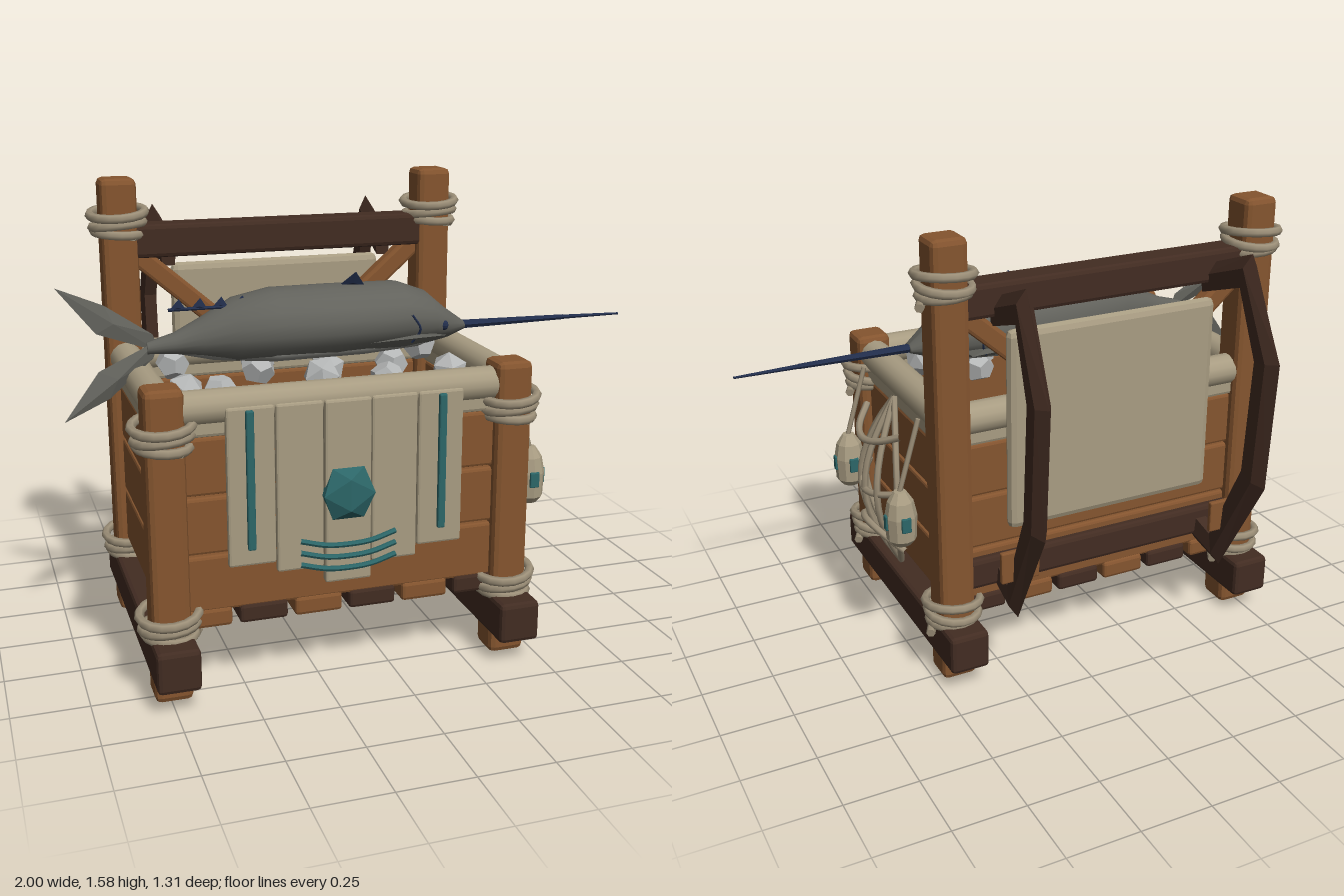
import * as THREE from 'three';
import { RoundedBoxGeometry } from 'three/addons/geometries/RoundedBoxGeometry.js';

const V = (x, y, z) => new THREE.Vector3(x, y, z);
const mat = (color, flatShading = true, side = THREE.FrontSide) =>
  new THREE.MeshStandardMaterial({ color, flatShading, side });

export function createModel() {
  const root = new THREE.Group();
  const wood = mat(0x85552f), dark = mat(0x422c22), cloth = mat(0xa89c82), rope = mat(0x9c8f78, false);
  const teal = mat(0x2c6668), navy = mat(0x222e4c), skin = mat(0x62625c, false), ice = mat(0xb4b6b6);
  const fin = mat(0x62625c, true, THREE.DoubleSide), navyFin = mat(0x222e4c, true, THREE.DoubleSide);

  const add = (name, geo, m, x = 0, y = 0, z = 0) => {
    const mesh = new THREE.Mesh(geo, m);
    mesh.name = name;
    mesh.position.set(x, y, z);
    root.add(mesh);
    return mesh;
  };
  // chamfered block given by its extents
  const block = (name, m, x0, x1, y0, y1, z0, z1, r = 0.012) =>
    add(name, new RoundedBoxGeometry(x1 - x0, y1 - y0, z1 - z0, 1, r), m,
      (x0 + x1) / 2, (y0 + y1) / 2, (z0 + z1) / 2);
  const tube = (name, m, pts, r = 0.012, seg = 14) =>
    add(name, new THREE.TubeGeometry(new THREE.CatmullRomCurve3(pts), seg, r, 6), m);
  // cylinder between two points
  const rod = (name, m, a, b, r0, r1 = r0, sides = 6) => {
    const mesh = add(name, new THREE.CylinderGeometry(r1, r0, a.distanceTo(b), sides), m);
    mesh.position.copy(a).lerp(b, 0.5);
    mesh.quaternion.setFromUnitVectors(V(0, 1, 0), b.clone().sub(a).normalize());
    return mesh;
  };
  // closed skin through rings of equal length
  const loft = rings => {
    const n = rings[0].length, idx = [], last = (rings.length - 1) * n;
    for (let r = 0; r < rings.length - 1; r++)
      for (let i = 0; i < n; i++) {
        const a = r * n + i, b = r * n + (i + 1) % n;
        idx.push(a, b, a + n, b, b + n, a + n);
      }
    for (let i = 1; i < n - 1; i++) idx.push(0, i + 1, i, last, last + i, last + i + 1);
    const g = new THREE.BufferGeometry().setFromPoints(rings.flat());
    g.setIndex(idx);
    g.computeVertexNormals();
    return g;
  };

  const XL = -0.74, XR = 0.41, ZF = 0.5, ZB = -0.235;

  // posts, runners and rope lashings
  const lashing = (x, y, z) => {
    [[0.035, 0.1, 0.06], [-0.005, -0.07, 0.08], [-0.03, 0.05, -0.06]].forEach(([dy, tx, ty], i) => {
      const t = add('lashing', new THREE.TorusGeometry(0.095 - i * 0.006, 0.016, 6, 16), rope, x, y + dy, z);
      t.rotation.set(Math.PI / 2 + tx, ty, 0);
    });
    rod('lashingEnd', rope, V(x + 0.04, y - 0.04, z + 0.07), V(x + 0.1, y - 0.055, z - 0.04), 0.016);
  };
  for (const x of [XL, XR]) {
    block('frontPost', wood, x - 0.062, x + 0.062, 0, 1.025, ZF - 0.062, ZF + 0.062, 0.02);
    block('backPost', wood, x - 0.062, x + 0.062, 0, 1.575, ZB - 0.062, ZB + 0.062, 0.02);
    block('runner', dark, x - 0.07, x + 0.07, 0.08, 0.22, -0.39, 0.66, 0.015);
    lashing(x, 0.87, ZF);
    lashing(x, 1.42, ZB);
    for (const z of [ZF, ZB]) lashing(x, 0.25, z);
  }

  // floor slats
  for (let i = 0; i < 6; i++) {
    const x = -0.62 + i * 0.184;
    block('floorSlat', i % 2 ? dark : wood, x - 0.08, x + 0.08, 0.225, 0.29, -0.27, 0.53);
  }

  // plank walls, lining and rolled rim
  for (let i = 0; i < 3; i++) {
    const y0 = 0.28 + i * 0.195, y1 = y0 + 0.188;
    for (const z of [ZF, ZB]) block('wallPlank', wood, XL + 0.04, XR - 0.04, y0, y1, z - 0.025, z + 0.025, 0.01);
    for (const x of [XL, XR]) block('sidePlank', wood, x - 0.025, x + 0.025, y0, y1, ZB + 0.04, ZF - 0.04, 0.01);
  }
  for (const z of [ZF, ZB]) {
    block('lining', cloth, XL + 0.05, XR - 0.05, 0.86, 0.93, z - 0.032, z + 0.032);
    rod('rimRoll', mat(0xa89c82, false), V(XL + 0.03, 0.95, z), V(XR - 0.03, 0.95, z), 0.055, 0.055, 14);
  }
  for (const x of [XL, XR]) {
    block('lining', cloth, x - 0.032, x + 0.032, 0.86, 0.93, ZB + 0.05, ZF - 0.05);
    rod('rimRoll', mat(0xa89c82, false), V(x, 0.955, ZB + 0.03), V(x, 0.955, ZF - 0.03), 0.055, 0.055, 14);
  }

  // back frame: beams, braces and padded board
  block('topBeam', dark, XL + 0.04, XR - 0.04, 1.3, 1.415, ZB - 0.055, ZB + 0.055, 0.015);
  block('lowerBeam', dark, XL + 0.04, XR - 0.04, 0.33, 0.44, ZB - 0.055, ZB + 0.045, 0.015);
  for (const s of [-1, 1]) {
    const mid = (XL + XR) / 2;
    const b = block('brace', wood, -0.215, 0.215, -0.035, 0.035, -0.03, 0.03);
    b.position.set(mid + s * 0.37, 1.18, ZB);
    b.rotation.z = s * 0.72;
  }
  block('backPad', cloth, -0.55, 0.23, 0.55, 1.26, -0.33, -0.28, 0.024);

  // curved carrying arms with a ridge along the outer edge
  const arm = [ // outer z, y, inner z, y
    [-0.25, 1.36, -0.25, 1.26], [-0.48, 1.45, -0.45, 1.33], [-0.655, 1.12, -0.545, 1.1],
    [-0.63, 0.66, -0.52, 0.69], [-0.41, 0.26, -0.37, 0.37], [-0.25, 0.3, -0.25, 0.41]];
  for (const s of [-1, 1]) {
    const cx = -0.165;
    const rings = arm.map(([oz, oy, iz, iy]) => {
      const x = cx + s * (0.4 + 0.05 * (-oz - 0.25)), mz = oz + (iz - oz) * 0.4, my = oy + (iy - oy) * 0.4;
      return [V(x, oy, oz), V(x + 0.028, my, mz), V(x + 0.022, iy, iz), V(x - 0.022, iy, iz), V(x - 0.028, my, mz)];
    });
    add('carryingArm', loft(rings), dark);
    block('armPeg', wood, cx + s * 0.41 - 0.07, cx + s * 0.41 + 0.07, 0.42, 0.535, -0.438, -0.418, 0.005);
  }

  // front apron with inlays
  [0.435, 0.4, 0.345, 0.4, 0.435].forEach((y, i) => {
    const x = -0.555 + i * 0.157;
    block('apronStrip', cloth, x, x + 0.154, y, 0.955, 0.535, 0.562 + (i === 2 ? 0.006 : 0), 0.008);
  });
  for (const x of [-0.482, 0.153]) block('inlayBar', teal, x - 0.013, x + 0.013, 0.49, 0.945, 0.55, 0.575, 0.005);
  const gem = add('apronGem', new THREE.IcosahedronGeometry(0.1, 0), teal, -0.165, 0.645, 0.568);
  gem.scale.z = 0.35;
  for (const y of [0.475, 0.435, 0.395])
    tube('apronCurve', teal, [V(-0.325, y + 0.025, 0.568), V(-0.24, y + 0.004, 0.574),
      V(-0.165, y, 0.576), V(-0.09, y + 0.004, 0.574), V(-0.005, y + 0.025, 0.568)], 0.009);

  // rope net bulging on the left side
  const netPoint = (a, t) => { // a: sideways -1..1, t: bottom 0 to top 1
    const w = Math.sin(Math.PI * t);
    return V(0.455 + (0.125 - 0.06 * a * a) * w, 0.26 + 0.65 * t, 0.135 + 0.165 * a * w);
  };
  for (const a of [-1, -0.5, 0, 0.5, 1])
    tube('netStrand', rope, [0, 0.17, 0.34, 0.5, 0.66, 0.83, 1].map(t => netPoint(a, t)), 0.012);
  for (const [y, bend] of [[0.78, 0.05], [0.58, 0.035], [0.46, -0.07]])
    tube('netRung', rope, [-1, -0.5, 0, 0.5, 1].map(a =>
      V(0.58 - 0.08 * a * a, y + bend * a * a, 0.135 + 0.165 * a)), 0.013);

  // hanging floats
  const floatProfile = [[0, -0.1], [0.033, -0.098], [0.052, -0.075], [0.056, 0.01], [0.045, 0.065], [0.022, 0.1], [0, 0.102]]
    .map(p => new THREE.Vector2(...p));
  for (const z of [0.4, -0.125]) {
    rod('floatCord', rope, V(0.47, 0.93, z), V(0.545, 0.68, z), 0.009);
    add('float', new THREE.LatheGeometry(floatProfile, 10), cloth, 0.545, 0.58, z);
    for (const s of [-1, 1]) block('floatMark', teal, 0.528, 0.562, 0.545, 0.6, z + s * 0.046 - 0.012, z + s * 0.046 + 0.012, 0.004);
    block('floatMark', teal, 0.59, 0.604, 0.545, 0.6, z - 0.012, z + 0.012, 0.004);
  }

  // ice lumps
  const lumps = [[-0.59, -0.11], [-0.31, -0.02], [0.29, 0], [-0.62, 0.27], [-0.53, 0.37], [-0.18, 0.33], [0.05, 0.32],
    [0.27, 0.33], [-0.35, 0.16], [-0.1, 0.13], [0.12, 0.17]];
  lumps.forEach(([x, z], i) => {
    const c = add('iceLump', i % 2 ? new THREE.IcosahedronGeometry(0.065, 0) : new THREE.DodecahedronGeometry(0.06, 0),
      ice, x, 0.94 + (i % 3) * 0.015, z);
    c.rotation.set(i * 1.3, i * 0.7, i * 2.1);
  });

  // fish body: x, centre y, half height, half width
  const FZ = 0.16;
  const body = (name, m, secs, n = 18) => add(name, loft(secs.map(([x, cy, ry, rz]) =>
    Array.from({ length: n }, (_, i) => {
      const a = i / n * Math.PI * 2;
      return V(x, cy + ry * Math.cos(a), FZ + rz * Math.sin(a));
    }))), m);
  body('fishBody', skin, [[-0.72, 1.065, 0.02, 0.02], [-0.63, 1.075, 0.035, 0.04], [-0.54, 1.09, 0.065, 0.07],
    [-0.43, 1.11, 0.105, 0.12], [-0.3, 1.12, 0.12, 0.152], [-0.1, 1.12, 0.12, 0.16], [0.14, 1.122, 0.115, 0.16],
    [0.24, 1.11, 0.09, 0.135], [0.31, 1.085, 0.055, 0.085], [0.385, 1.07, 0.016, 0.03]]);
  body('fishBelly', mat(0x8c8c86, false), [[-0.66, 1.06, 0.012, 0.02], [-0.5, 1.045, 0.035, 0.05], [-0.3, 1.04, 0.046, 0.105],
    [0, 1.04, 0.042, 0.11], [0.2, 1.045, 0.035, 0.09], [0.32, 1.06, 0.015, 0.04]]);
  rod('bill', navy, V(0.36, 1.07, FZ), V(0.78, 1.07, FZ), 0.016, 0.009);
  rod('billTip', navy, V(0.78, 1.07, FZ), V(1, 1.068, FZ), 0.008, 0.004);
  for (const s of [-1, 1]) {
    add('eye', new THREE.SphereGeometry(0.018, 8, 6), navy, 0.275, 1.095, FZ + s * 0.1);
    tube('gillLine', navy, [V(0.14, 1.15, FZ + s * 0.158), V(0.17, 1.1, FZ + s * 0.157), V(0.15, 1.05, FZ + s * 0.13)], 0.004, 8);
  }

  // fins: thin lens-shaped blades fanned around a thickened centre
  const blade = (name, m, pts, thick) => {
    const c = pts.reduce((s, p) => s.add(p), V(0, 0, 0)).divideScalar(pts.length);
    const nrm = pts[1].clone().sub(pts[0]).cross(pts[2].clone().sub(pts[0])).normalize().multiplyScalar(thick);
    const v = [];
    pts.forEach((p, i) => {
      const q = pts[(i + 1) % pts.length];
      v.push(p, q, c.clone().add(nrm), q, p, c.clone().sub(nrm));
    });
    const g = new THREE.BufferGeometry().setFromPoints(v);
    g.computeVertexNormals();
    add(name, g, m);
  };
  for (const s of [-1, 1]) {
    blade('tailLobe', fin, [V(-0.68, 1.07 - s * 0.02, FZ), V(-0.7, 1.07 + s * 0.04, FZ), V(-0.85, 1.06 + s * 0.15, FZ - s * 0.02),
      V(-1, 1.06 + s * 0.21, FZ - s * 0.045), V(-0.88, 1.06 + s * 0.06, FZ - s * 0.01)], 0.014);
    blade('sideFin', fin, [V(0, 1.06, FZ + s * 0.14), V(0.24, 1.09, FZ + s * 0.225), V(0.23, 1.07, FZ + s * 0.1)], 0.008);
  }
  blade('dorsalFin', navyFin, [V(-0.07, 1.23, FZ), V(-0.02, 1.285, FZ + 0.045), V(0.02, 1.23, FZ + 0.02)], 0.008);
  rod('rearFinSpine', navy, V(-0.65, 1.19, 0.18), V(-0.39, 1.19, 0.185), 0.006);
  for (let i = 0; i < 4; i++) {
    const x = -0.65 + i * 0.07;
    blade('rearFinTooth', navyFin, [V(x, 1.185, 0.18), V(x + 0.06, 1.185, 0.185), V(x + 0.035, 1.225, 0.185)], 0.006);
  }
  return root;
}
